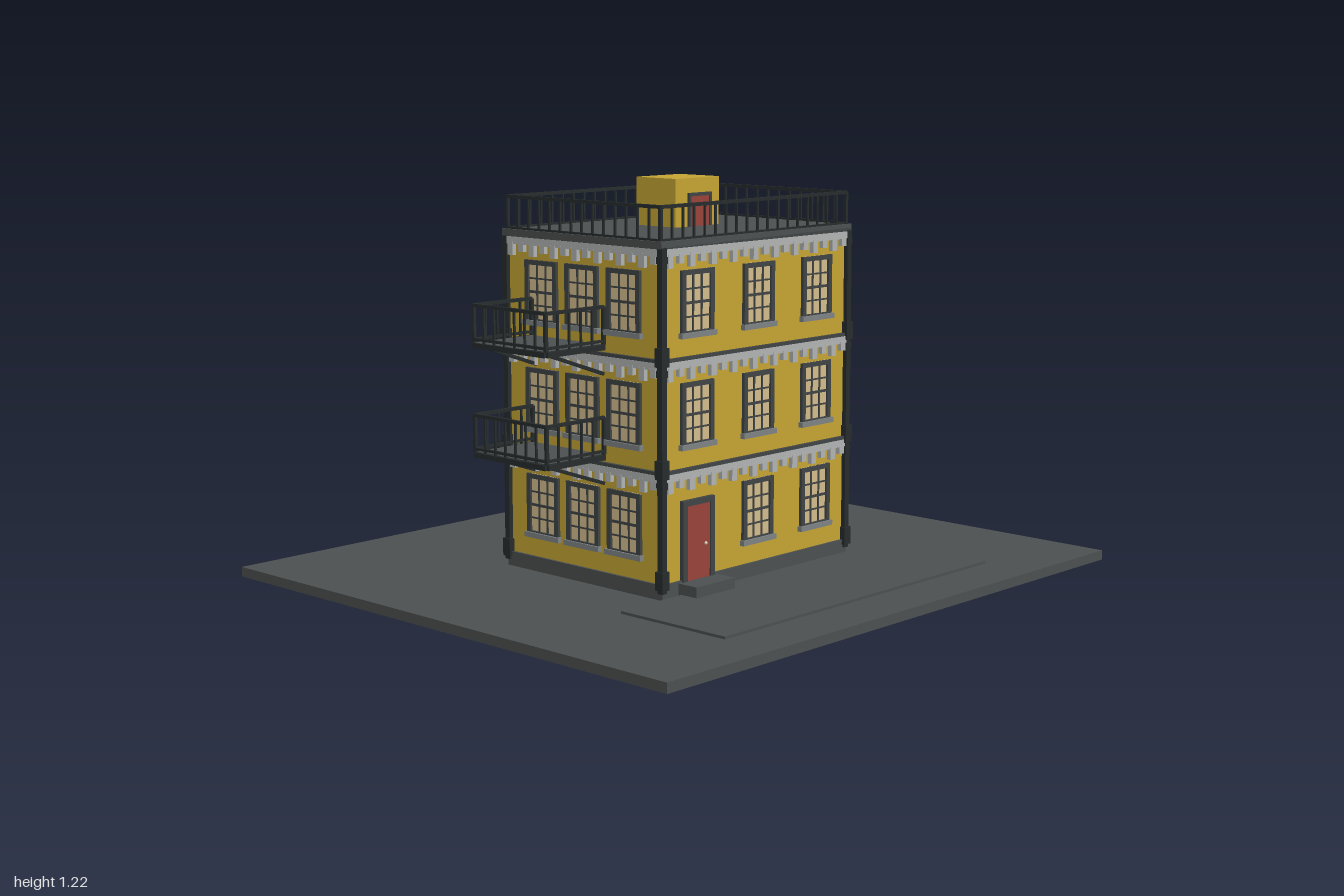
import * as THREE from 'three';
import { mergeGeometries } from 'three/addons/utils/BufferGeometryUtils.js';

const mat = (name, color) => new THREE.MeshStandardMaterial({ name, color });

// box between two corners
function box(x0, x1, y0, y1, z0, z1) {
  return new THREE.BoxGeometry(x1 - x0, y1 - y0, z1 - z0)
    .translate((x0 + x1) / 2, (y0 + y1) / 2, (z0 + z1) / 2);
}

// square bar running between two points
function bar(a, b, t) {
  const p = new THREE.Vector3(...a), q = new THREE.Vector3(...b);
  const m = new THREE.Matrix4().lookAt(q, p, new THREE.Vector3(0, 1, 0.001));
  return new THREE.BoxGeometry(t, t, p.distanceTo(q)).applyMatrix4(m)
    .translate((p.x + q.x) / 2, (p.y + q.y) / 2, (p.z + q.z) / 2);
}

// straight railing with balusters
function railing(x0, z0, x1, z1, y, h) {
  const n = Math.round(Math.hypot(x1 - x0, z1 - z0) / 0.045), out = [];
  out.push(bar([x0, y + h, z0], [x1, y + h, z1], 0.01), bar([x0, y + 0.01, z0], [x1, y + 0.01, z1], 0.008));
  for (let i = 0; i <= n; i++) {
    const x = x0 + (x1 - x0) * i / n, z = z0 + (z1 - z0) * i / n, t = i % n ? 0.003 : 0.005;
    out.push(box(x - t, x + t, y, y + h, z - t, z + t));
  }
  return out;
}

export function createModel() {
  const yellow = mat('yellow wall', 0xc4a333), ground = mat('dark grey stone', 0x4b4f4f);
  const iron = mat('black iron', 0x262b2b), trim = mat('light grey trim', 0xb0b3b3);
  const sillGrey = mat('sill grey', 0x7e8283), frameGrey = mat('frame grey', 0x3f4343);
  const glass = mat('warm glass', 0xd2bb8a), red = mat('red door', 0x98423a), knobMat = mat('knob', 0xd8d4c0);

  const model = new THREE.Group();
  model.name = 'building';
  const part = (parent, name, material, geos) => {
    const mesh = new THREE.Mesh(mergeGeometries(geos), material);
    mesh.name = name;
    parent.add(mesh);
  };

  const W = 0.41, D = 0.32, STOREY = 0.325, BASE = 0.075;

  // Ground, pavement, foundation and entrance step
  part(model, 'groundSlab', ground, [box(-1, 1, 0, 0.03, -0.9, 0.9)]);
  part(model, 'pavement', ground, [box(-0.6, 0.6, 0.03, 0.038, 0.34, 0.735)]);
  part(model, 'foundation', ground, [box(-0.418, 0.418, 0.03, BASE, -0.328, 0.328)]);
  part(model, 'entranceStep', ground, [box(-0.35, -0.185, 0.03, 0.07, 0.32, 0.4)]);

  // Main walls and roof
  part(model, 'walls', yellow, [box(-W, W, BASE, 1.05, -D, D)]);
  part(model, 'roof', ground, [box(-0.425, 0.425, 1.047, 1.068, -0.332, 0.332)]);

  // Corner columns with a base block on each storey
  const columns = [];
  for (const sx of [-1, 1]) for (const sz of [-1, 1]) {
    const x = sx * 0.414, z = sz * 0.324;
    columns.push(box(x - 0.01, x + 0.01, 0.05, 1.05, z - 0.01, z + 0.01));
    for (let f = 0; f < 3; f++) {
      const y = BASE + f * STOREY;
      columns.push(box(x - 0.015, x + 0.015, y - 0.015, y + 0.04, z - 0.015, z + 0.015));
      columns.push(box(x - 0.012, x + 0.012, y + 0.28, y + 0.3, z - 0.012, z + 0.012));
    }
  }
  part(model, 'cornerColumns', iron, columns);

  // One wall face: windows, cornices and dentils, built facing +z
  function face(name, angle, dist, half, spacing, hasDoor) {
    const g = new THREE.Group();
    g.name = name;
    g.rotation.y = angle;
    const z = dist, frames = [], bars = [], panes = [], sills = [], bands = [], dentils = [], ledges = [];
    for (let f = 0; f < 3; f++) {
      const y0 = 0.14 + f * STOREY, y1 = y0 + 0.19, top = 0.4 + f * STOREY;
      for (const c of [-spacing, 0, spacing]) {
        if (hasDoor && f === 0 && c < 0) continue;
        const w = 0.066;
        panes.push(box(c - w, c + w, y0, y1, z, z + 0.003));
        for (const s of [-1, 1]) {
          const x = c + s * (w - 0.006);
          frames.push(box(x - 0.008, x + 0.008, y0, y1, z, z + 0.01));
          bars.push(box(c + s * 0.018 - 0.003, c + s * 0.018 + 0.003, y0, y1, z, z + 0.006));
        }
        frames.push(box(c - w, c + w, y1 - 0.014, y1, z, z + 0.01), box(c - w, c + w, y0, y0 + 0.014, z, z + 0.01));
        for (let i = 1; i < 4; i++) {
          const y = y0 + 0.014 + i * 0.0405, t = i === 2 ? 0.004 : 0.0025;
          bars.push(box(c - w, c + w, y - t, y + t, z, z + 0.006));
        }
        sills.push(box(c - 0.074, c + 0.074, y0 - 0.006, y0 + 0.01, z, z + 0.016));
      }
      bands.push(box(-half, half, top - 0.026, top - 0.004, z, z + 0.013));
      ledges.push(box(-half - 0.01, half + 0.01, top - 0.004, top + 0.006, z, z + 0.012));
      const n = Math.round(2 * half / 0.045);
      for (let i = 0; i < n; i++) {
        const x = -half + (i + 0.5) * 2 * half / n;
        dentils.push(box(x - 0.011, x + 0.011, top - (i % 2 ? 0.048 : 0.06), top - 0.02, z, z + 0.014));
      }
    }
    part(g, 'windowPanes', glass, panes);
    part(g, 'windowFrames', frameGrey, frames);
    part(g, 'windowBars', frameGrey, bars);
    part(g, 'windowSills', sillGrey, sills);
    part(g, 'corniceBands', trim, bands);
    part(g, 'corniceDentils', trim, dentils);
    part(g, 'corniceLedges', frameGrey, ledges);
    model.add(g);
  }
  face('frontFace', 0, D, W, 0.267, true);
  face('backFace', Math.PI, D, W, 0.267, false);
  face('leftFace', Math.PI / 2, W, D, 0.172, false);
  face('rightFace', -Math.PI / 2, W, D, 0.172, false);

  // Front door
  part(model, 'door', red, [box(-0.317, -0.217, 0.07, 0.295, D, D + 0.009)]);
  part(model, 'doorFrame', frameGrey, [box(-0.335, -0.317, 0.07, 0.31, D, D + 0.014),
    box(-0.217, -0.2, 0.07, 0.31, D, D + 0.014), box(-0.335, -0.2, 0.293, 0.31, D, D + 0.014)]);
  part(model, 'doorKnob', knobMat, [new THREE.SphereGeometry(0.005, 10, 8).translate(-0.237, 0.172, D + 0.012)]);

  // Roof railing and stair hut
  const rx = 0.413, rz = 0.318;
  part(model, 'roofRailing', iron, [
    ...railing(-rx, rz, rx, rz, 1.06, 0.105), ...railing(-rx, -rz, rx, -rz, 1.06, 0.105),
    ...railing(-rx, -rz, -rx, rz, 1.06, 0.105), ...railing(rx, -rz, rx, rz, 1.06, 0.105)]);
  part(model, 'roofHut', yellow, [box(-0.052, 0.142, 1.06, 1.215, -0.13, 0.035)]);
  part(model, 'roofHutDoor', red, [box(0.01, 0.092, 1.068, 1.16, 0.035, 0.04)]);
  part(model, 'roofHutDoorFrame', frameGrey, [box(0, 0.01, 1.068, 1.17, 0.035, 0.044),
    box(0.092, 0.102, 1.068, 1.17, 0.035, 0.044), box(0, 0.102, 1.16, 1.17, 0.035, 0.044)]);

  // Platform with railings on its three open sides
  function platform(name, s, outer, y, z0, z1) {
    const xi = s * 0.42, xo = s * outer;
    part(model, name + 'Floor', ground, [box(Math.min(xi, xo), Math.max(xi, xo), y - 0.012, y, z0, z1)]);
    part(model, name + 'Railing', iron, [...railing(xi, z0, xo, z0, y, 0.11),
      ...railing(xi, z1, xo, z1, y, 0.11), ...railing(xo, z0, xo, z1, y, 0.11),
      bar([xo, y - 0.008, z0], [xo, y - 0.008, z1], 0.016),
      bar([xi, y - 0.008, z0], [xo, y - 0.008, z0], 0.016), bar([xi, y - 0.008, z1], [xo, y - 0.008, z1], 0.016)]);
  }

  // Balconies with diagonal struts
  for (const y of [0.43, 0.755]) {
    platform('balcony', -1, 0.65, y, -0.21, 0.095);
    part(model, 'balconyStruts', iron, [-0.2, 0.085].map(z =>
      bar([-0.63, y - 0.012, z], [-0.412, y - 0.088, z], 0.01)));
  }

  // Fire escape: three landings, outer posts and two flights of stairs
  for (const y of [0.105, 0.43, 0.755]) platform('fireEscape', 1, 0.637, y, -0.2, 0.087);
  part(model, 'fireEscapePosts', iron, [-0.2, 0.087].map(z => box(0.625, 0.635, 0.03, 0.75, z - 0.005, z + 0.005)));
  function stairs(y0, y1, z0, z1) {
    const parts = [0.48, 0.565].map(x => bar([x, y0, z0], [x, y1, z1], 0.011));
    for (let i = 1; i < 12; i++) {
      const y = y0 + (y1 - y0) * i / 12, z = z0 + (z1 - z0) * i / 12;
      parts.push(box(0.478, 0.567, y, y + 0.008, z - 0.013, z + 0.013));
    }
    part(model, 'fireEscapeStairs', iron, parts);
  }
  stairs(0.105, 0.43, 0.065, -0.17);
  stairs(0.43, 0.755, -0.17, 0.07);

  return model;
}
